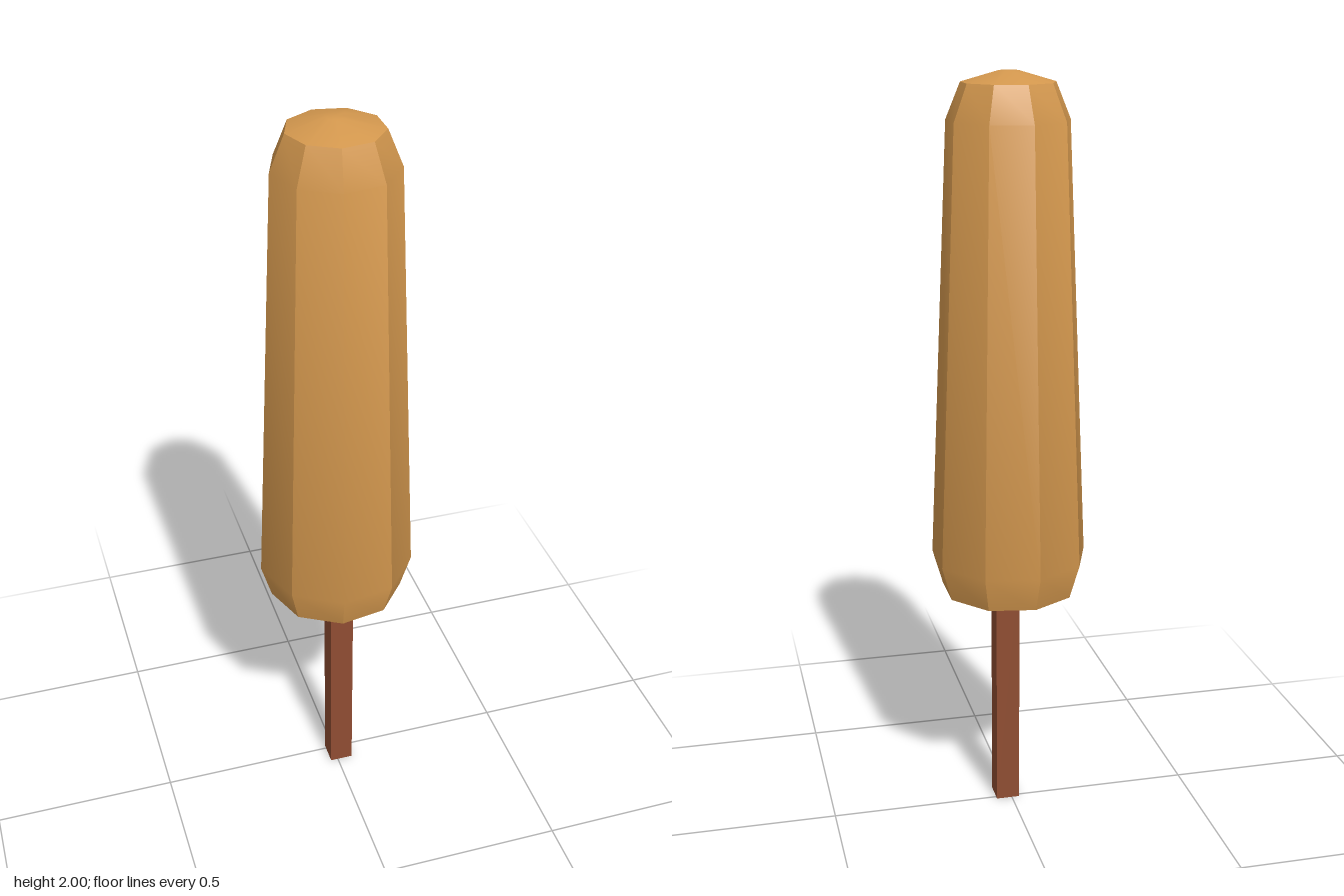
import * as THREE from 'three';
import { toCreasedNormals } from 'three/addons/utils/BufferGeometryUtils.js';

export function createModel() {
  const group = new THREE.Group();

  const coating = new THREE.MeshStandardMaterial({ color: 0xd4984e });
  coating.name = 'golden coating';
  const wood = new THREE.MeshStandardMaterial({ color: 0x8f4d32 });
  wood.name = 'reddish wood';

  // Nine-sided tapered body: smooth along its height, creased between sides
  const profile = [
    [0, 0.61], [0.075, 0.612], [0.181, 0.641], [0.209, 0.735],
    [0.159, 1.88], [0.121, 1.972], [0.025, 2.0], [0, 2.0],
  ].map(([r, y]) => new THREE.Vector2(r, y));
  const lathe = new THREE.LatheGeometry(profile, 9, -Math.PI / 2);
  const body = new THREE.Mesh(toCreasedNormals(lathe, Math.PI / 6), coating);
  body.name = 'body';
  body.position.set(0.006, 0, -0.001);
  group.add(body);

  // Square stick, slightly off centre, running up into the body
  const stick = new THREE.Mesh(new THREE.BoxGeometry(0.064, 0.7, 0.064), wood);
  stick.name = 'stick';
  stick.position.set(0.011, 0.35, 0.021);
  group.add(stick);

  return group;
}
